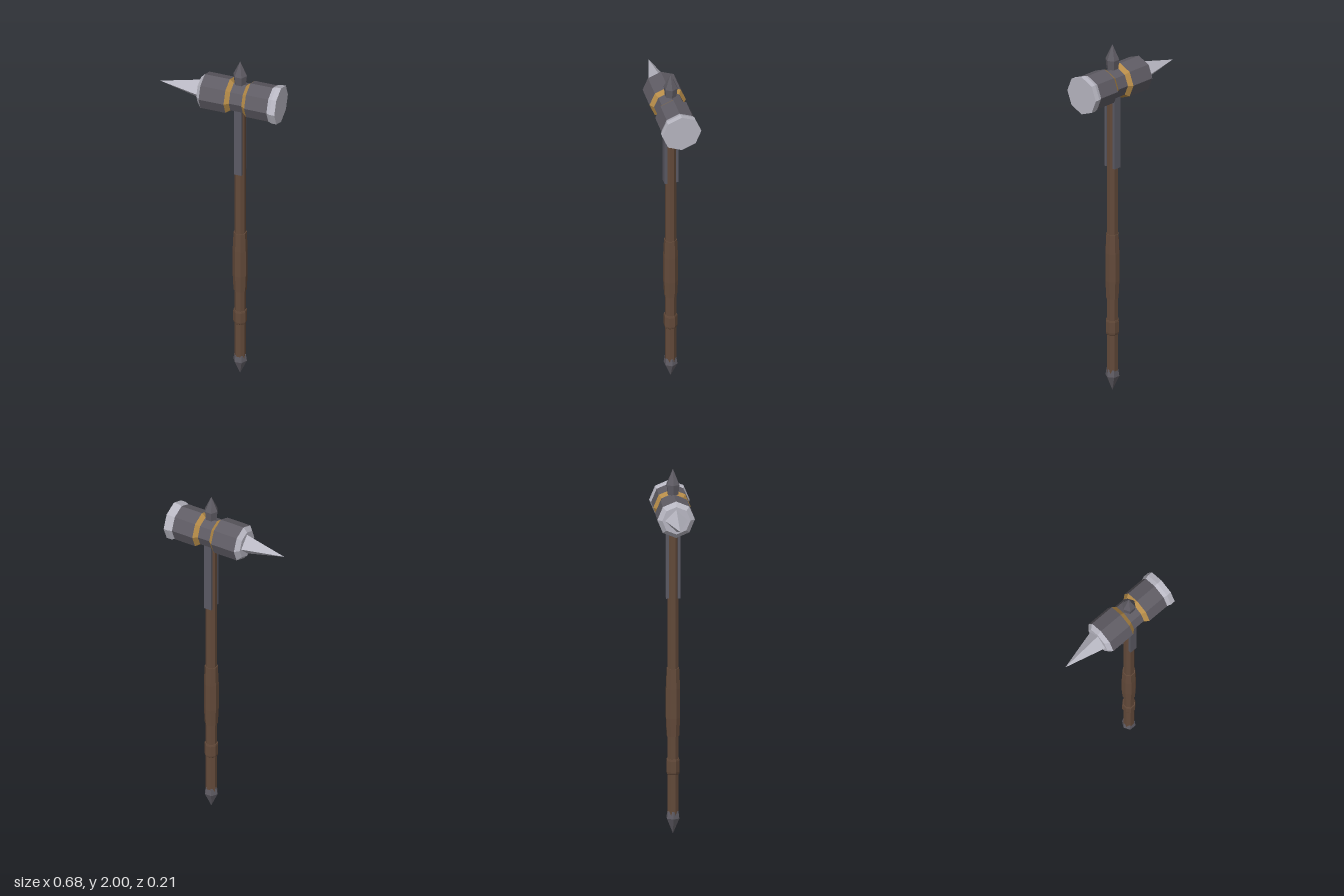
import * as THREE from 'three';

const mat = (name, color) => {
  const m = new THREE.MeshStandardMaterial({ color });
  m.name = name;
  return m;
};

// Faceted solid turned about y; profile is [radius, height] from bottom to top
function turned(profile, sides, phase = 0) {
  const pts = profile.map(([r, h]) => new THREE.Vector2(r, h));
  const geo = new THREE.LatheGeometry(pts, sides, phase).toNonIndexed();
  geo.computeVertexNormals();
  return geo;
}

export function createModel() {
  const darkSteel = mat('dark steel', 0x5f5c64);
  const lightSteel = mat('light steel', 0xb9b8c3);
  const brass = mat('brass', 0xb58b48);
  const wood = mat('wood', 0x634a3a);
  const strapSteel = mat('strap steel', 0x5b5a64);

  const model = new THREE.Group();
  model.name = 'warHammer';
  const shaftX = 0.11, headY = 1.773;

  const add = (parent, name, geo, material) => {
    const mesh = new THREE.Mesh(geo, material);
    mesh.name = name;
    parent.add(mesh);
    return mesh;
  };

  // Shaft with everything centred on it
  const shaft = new THREE.Group();
  shaft.name = 'shaft';
  shaft.position.x = shaftX;
  model.add(shaft);
  const flat = Math.PI / 8;
  add(shaft, 'handle', turned([[0, 0.11], [0.031, 0.11], [0.031, 1.75], [0, 1.75]], 8, flat), wood);
  add(shaft, 'grip', turned([[0.03, 0.54], [0.035, 0.54], [0.04, 0.64], [0.04, 0.8], [0.035, 0.91], [0.03, 0.91]], 8, flat), wood);
  add(shaft, 'handleRing', turned([[0.03, 0.33], [0.035, 0.335], [0.037, 0.345], [0.037, 0.405], [0.035, 0.415], [0.03, 0.415]], 8, flat), wood);

  // Pointed caps at both ends
  add(shaft, 'pommel', turned([[0, 0.005], [0.038, 0.09], [0.032, 0.13], [0, 0.13]], 6, Math.PI / 2), darkSteel);
  add(shaft, 'topSpike', turned([[0, 1.862], [0.032, 1.862], [0.038, 1.915], [0, 2]], 6, Math.PI / 2), darkSteel);
  add(shaft, 'topSpikePin', turned([[0.01, 1.83], [0.01, 1.87]], 6), darkSteel);

  // Straps below the head, front and back
  for (const side of [1, -1]) {
    const strap = add(shaft, side > 0 ? 'frontStrap' : 'backStrap', new THREE.BoxGeometry(0.044, 0.42, 0.014), strapSteel);
    strap.position.set(0, 1.505, side * 0.031);
  }

  // Head: octagonal sections along x
  const head = new THREE.Group();
  head.name = 'head';
  head.position.y = headY;
  model.add(head);
  const section = (name, profile, material, sides = 8) =>
    add(head, name, turned(profile, sides).rotateZ(-Math.PI / 2), material);

  section('spike', [[0, -0.34], [0.06, -0.11]], lightSteel, 4);
  section('spikeCollar', [[0, -0.11], [0.075, -0.11], [0.1, -0.088]], lightSteel);
  section('spikeSideBody', [[0.1, -0.088], [0.1, 0.052]], darkSteel);
  section('rightBand', [[0.1, 0.052], [0.081, 0.075]], brass);
  section('waist', [[0.081, 0.075], [0.081, 0.145]], darkSteel);
  section('leftBand', [[0.081, 0.145], [0.1, 0.168]], brass);
  section('faceSideBody', [[0.1, 0.168], [0.1, 0.293]], darkSteel);
  section('strikingFace', [[0.1, 0.293], [0.107, 0.313], [0.107, 0.34], [0, 0.34]], lightSteel);

  return model;
}
